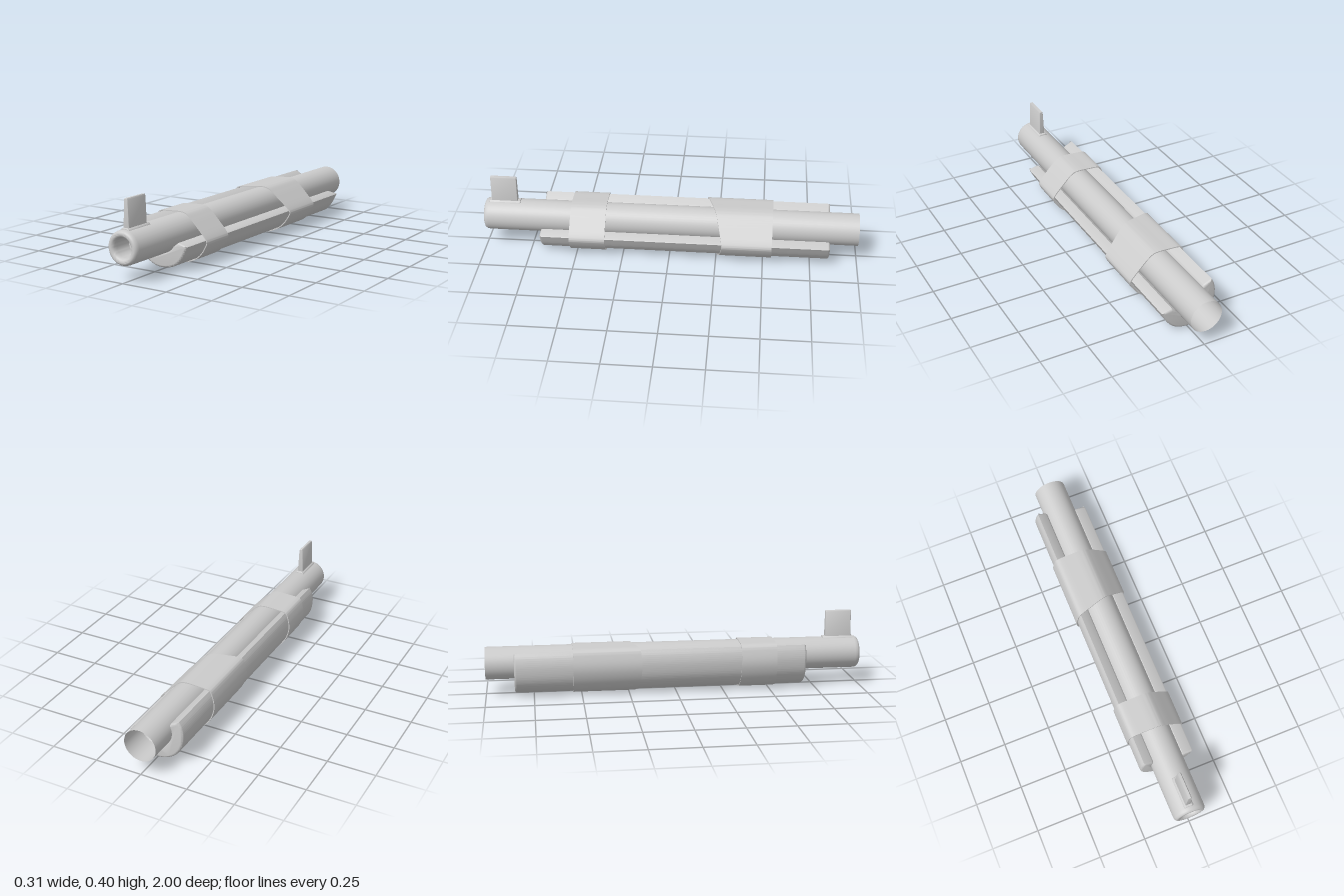
import * as THREE from 'three';
import { toCreasedNormals } from 'three/addons/utils/BufferGeometryUtils.js';

const AXIS_X = -0.003, AXIS_Y = 0.17, RADIUS = 0.086;
const material = new THREE.MeshStandardMaterial({ color: 0xcccccc, side: THREE.DoubleSide });
const vec = (list) => list.map(([x, y]) => new THREE.Vector2(x, y));

function part(name, geometry, crease = 0.6) {
  const mesh = new THREE.Mesh(toCreasedNormals(geometry, crease), material);
  mesh.name = name;
  return mesh;
}

// Extrude a shape between two z positions, with a bevel kept inside its outline
function extrudeZ(shape, zBack, zFront, bevel = 0) {
  const geometry = new THREE.ExtrudeGeometry(shape, {
    depth: zFront - zBack - 2 * bevel, curveSegments: 48,
    bevelEnabled: bevel > 0, bevelThickness: bevel, bevelSize: bevel,
    bevelOffset: -bevel, bevelSegments: 3,
  });
  return geometry.translate(0, 0, zBack + bevel);
}

// Tube with a rounded muzzle, a blind bore and an open rear
function makeBarrel() {
  const profile = vec([[RADIUS, -1], [RADIUS, 0.975], [0.084, 0.988], [0.078, 0.997],
    [0.072, 1], [0.064, 1], [0.056, 0.995], [0.051, 0.985], [0.05, 0.97], [0.05, 0.88], [0, 0.87]]);
  const geometry = new THREE.LatheGeometry(profile, 40);
  geometry.rotateX(Math.PI / 2).translate(AXIS_X, AXIS_Y, 0);
  return part('barrel', geometry);
}

// Lopsided trough wrapped under the barrel, higher on the right side
function makeHandguard() {
  const shape = new THREE.Shape();
  shape.moveTo(-0.127, 0.246);
  shape.splineThru(vec([[-0.142, 0.215], [-0.149, 0.17], [-0.142, 0.115], [-0.122, 0.072],
    [-0.09, 0.038], [-0.045, 0.015], [0, 0.009], [0.045, 0.016], [0.085, 0.035],
    [0.118, 0.072], [0.148, 0.13]]));
  shape.lineTo(0.143, 0.134);
  shape.lineTo(0.092, 0.144);
  shape.lineTo(0.084, 0.138);
  shape.lineTo(0.07, 0.128);
  shape.absarc(AXIS_X, AXIS_Y, 0.08, -0.5, -3.65, true);
  shape.lineTo(-0.082, 0.224);
  shape.closePath();
  return part('handguard', extrudeZ(shape, -0.85, 0.69, 0.012));
}

// Wrapped bands around barrel and handguard; skew slants the front edge
function makeStrap(name, zBack, zFront, skew) {
  const outline = vec([[-0.125, 0.254], [-0.06, 0.26], [0, 0.262], [0.03, 0.256], [0.06, 0.233],
    [0.105, 0.188], [0.148, 0.14], [0.157, 0.12], [0.147, 0.094], [0.122, 0.056], [0.09, 0.028],
    [0.045, 0.009], [0, 0.003], [-0.05, 0.01], [-0.1, 0.038], [-0.135, 0.083], [-0.154, 0.135],
    [-0.157, 0.175], [-0.148, 0.22], [-0.138, 0.245]]);
  const curve = new THREE.CatmullRomCurve3(
    outline.map((p) => new THREE.Vector3(p.x, p.y, 0)), true, 'centripetal');
  const ring = curve.getPoints(80).slice(0, -1);
  const shape = new THREE.Shape(vec(ring.map((p) => [p.x, p.y])));
  // Inner surface, offset inward along the curve normal
  const inner = ring.map((p, i) => {
    const t = curve.getTangent(i / 80);
    return [p.x + t.y * -0.005 * -1 * -1, p.y + t.x * 0.005 * -1 * -1].map((v, k) =>
      k === 0 ? p.x + t.y * 0.005 : p.y - t.x * 0.005);
  });
  shape.holes.push(new THREE.Path(vec(inner)));
  const geometry = extrudeZ(shape, zBack, zFront);
  const pos = geometry.attributes.position;
  for (let i = 0; i < pos.count; i++) {
    const t = (pos.getZ(i) - zBack) / (zFront - zBack);
    pos.setZ(i, pos.getZ(i) + skew * pos.getX(i) * t);
  }
  return part(name, geometry);
}

// Tapered blade on a small foot plate
function makeFrontSight() {
  const sight = new THREE.Group();
  sight.name = 'frontSight';
  const blade = new THREE.Shape(vec([[-0.016, 0.255], [0.016, 0.255], [0.01, 0.395],
    [0.006, 0.402], [-0.006, 0.402], [-0.01, 0.395]]));
  const foot = new THREE.Shape(vec([[-0.028, 0.245], [0.028, 0.245], [0.024, 0.256],
    [0.016, 0.262], [-0.016, 0.262], [-0.024, 0.256]]));
  sight.add(part('sightBlade', extrudeZ(blade, 0.822, 0.962, 0.003)));
  sight.add(part('sightFoot', extrudeZ(foot, 0.807, 0.973, 0.003)));
  sight.position.x = AXIS_X;
  return sight;
}

export function createModel() {
  const model = new THREE.Group();
  model.name = 'wrappedBarrel';
  model.add(
    makeBarrel(),
    makeHandguard(),
    makeStrap('frontStrap', 0.34, 0.53, 0),
    makeStrap('rearStrap', -0.545, -0.235, -0.3),
    makeFrontSight(),
  );
  return model;
}
